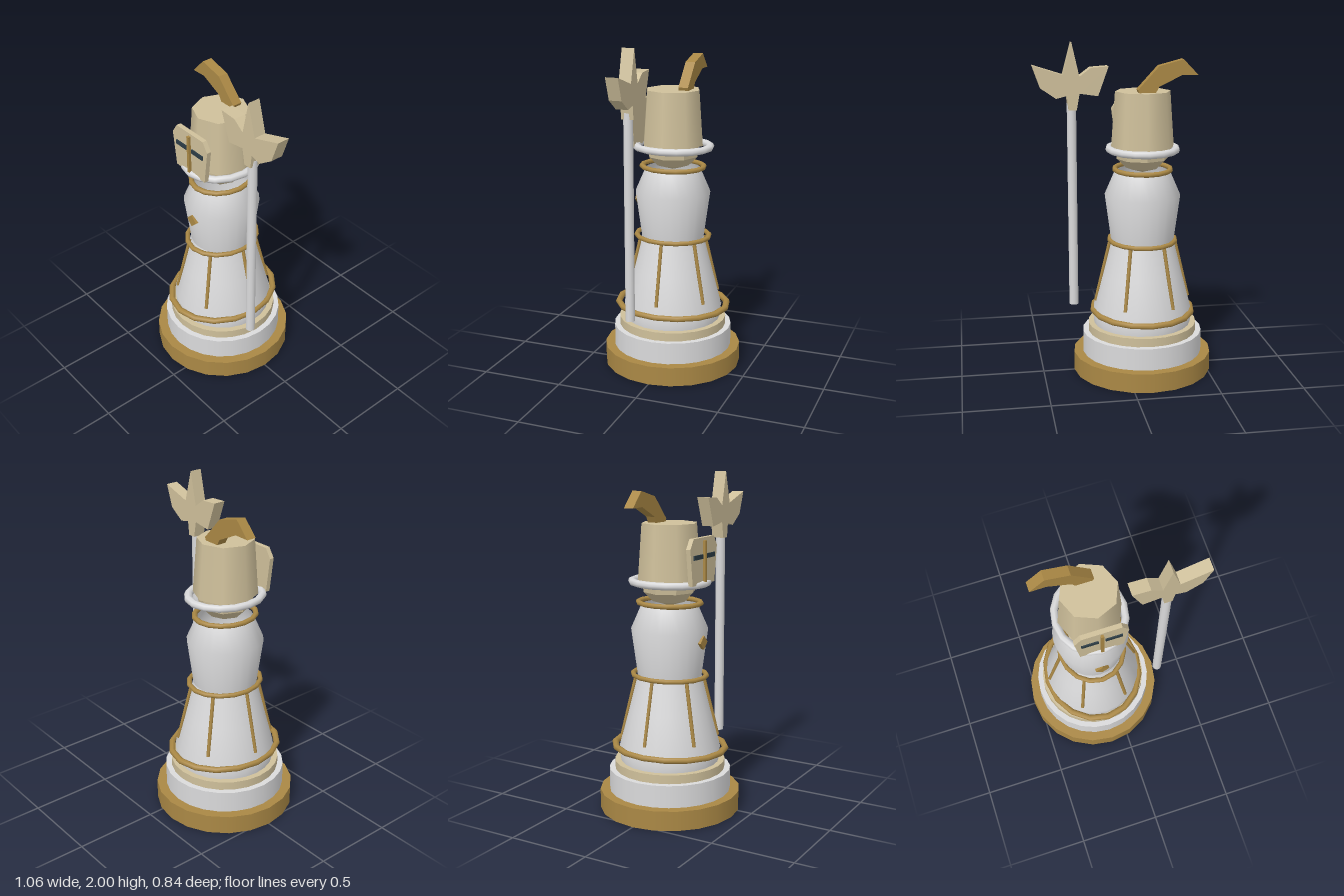
import * as THREE from 'three';

const mat = (name, color) => Object.assign(new THREE.MeshStandardMaterial({ color }), { name });

export function createModel() {
  const gold = mat('gold', 0xaa8845);
  const cream = mat('cream', 0xcfc09b);
  const white = mat('white', 0xdadadb);
  const slate = mat('slate', 0x2c3c45);
  white.side = THREE.DoubleSide; // the torso is open at the neck

  const model = new THREE.Group();
  model.name = 'chessPiece';
  const figure = new THREE.Group(); // everything centred on the body axis
  figure.name = 'figure';
  figure.position.x = -0.113;
  model.add(figure);

  const add = (parent, name, geometry, material, x = 0, y = 0, z = 0) => {
    const mesh = new THREE.Mesh(geometry, material);
    mesh.name = name;
    mesh.position.set(x, y, z);
    parent.add(mesh);
    return mesh;
  };
  const tier = (name, rTop, rBottom, y0, y1, sides, material) =>
    add(figure, name, new THREE.CylinderGeometry(rTop, rBottom, y1 - y0, sides), material, 0, (y0 + y1) / 2);
  const lathe = (name, points, sides, material) =>
    add(figure, name, new THREE.LatheGeometry(points.map(p => new THREE.Vector2(...p)), sides), material);
  // rings are slightly longer front to back
  const ring = (name, radius, tube, y, material) => {
    const mesh = add(figure, name, new THREE.TorusGeometry(radius, tube, 8, 16), material, 0, y);
    mesh.rotation.x = Math.PI / 2;
    mesh.scale.y = 1.135;
  };
  const plate = (parent, name, points, depth, z, material) => {
    const shape = new THREE.Shape(points.map(p => new THREE.Vector2(...p)));
    return add(parent, name, new THREE.ExtrudeGeometry(shape, { depth, bevelEnabled: false }), material, 0, 0, z);
  };

  // stepped base
  tier('base', 0.422, 0.422, 0, 0.117, 20, gold);
  tier('middleStep', 0.365, 0.365, 0.117, 0.25, 24, white);
  tier('topStep', 0.331, 0.331, 0.25, 0.302, 24, cream);

  // robe and torso
  lathe('skirt', [[0.296, 0.3], [0.303, 0.38], [0.243, 0.61], [0.19, 0.82]], 24, white);
  lathe('torso', [[0.19, 0.82], [0.2275, 1.1], [0.165, 1.245]], 24, white);
  ring('hemRing', 0.302, 0.018, 0.383, gold);
  ring('waistRing', 0.199, 0.014, 0.822, gold);
  ring('neckRing', 0.167, 0.015, 1.255, gold);

  // six ribs down the skirt
  for (let i = 0; i < 6; i++) {
    const a = (i * Math.PI) / 3;
    const at = (r, y) => new THREE.Vector3(r * Math.cos(a), y, r * Math.sin(a));
    const path = new THREE.LineCurve3(at(0.2, 0.81), at(0.287, 0.445));
    add(figure, 'skirtRib', new THREE.TubeGeometry(path, 1, 0.011, 6), gold);
  }

  // chest diamond
  const diamond = add(figure, 'chestDiamond', new THREE.BoxGeometry(0.058, 0.058, 0.022), gold, 0, 1.037, 0.222);
  diamond.rotation.z = Math.PI / 4;

  // head and helmet
  const head = lathe('head', [[0, 1.235], [0.1, 1.265], [0.155, 1.32], [0.165, 1.4]], 8, cream);
  head.geometry = head.geometry.toNonIndexed();
  head.geometry.computeVertexNormals();
  tier('helmet', 0.165, 0.189, 1.39, 1.72, 8, cream);
  ring('helmetBrim', 0.2, 0.022, 1.378, white);

  // visor with eye slits and a nose bar
  plate(figure, 'visor', [[-0.127, 1.38], [0.127, 1.38], [0.155, 1.59], [0.117, 1.647],
    [-0.117, 1.647], [-0.155, 1.59]], 0.028, 0.2, cream);
  for (const s of [-1, 1])
    add(figure, 'eyeSlit', new THREE.BoxGeometry(0.098, 0.026, 0.009), slate, s * 0.069, 1.54, 0.231);
  add(figure, 'noseBar', new THREE.BoxGeometry(0.018, 0.24, 0.02), gold, 0, 1.51, 0.234);

  // swept plume
  plate(model, 'plume', [[-0.42, 1.818], [-0.325, 1.82], [-0.19, 1.755], [-0.165, 1.71], [-0.077, 1.71],
    [-0.065, 1.738], [-0.19, 1.873], [-0.332, 1.91]], 0.06, -0.11, gold);

  // staff with a winged head
  add(model, 'staff', new THREE.CylinderGeometry(0.028, 0.028, 1.25, 12), white, 0.295, 1.015, 0.117);
  plate(model, 'staffHead', [[0.077, 1.857], [0.14, 1.683], [0.25, 1.7], [0.267, 1.603], [0.315, 1.603],
    [0.325, 1.688], [0.389, 1.672], [0.48, 1.735], [0.527, 1.868], [0.346, 1.81], [0.295, 2],
    [0.25, 1.8], [0.183, 1.85]], 0.075, 0.076, cream);

  return model;
}
